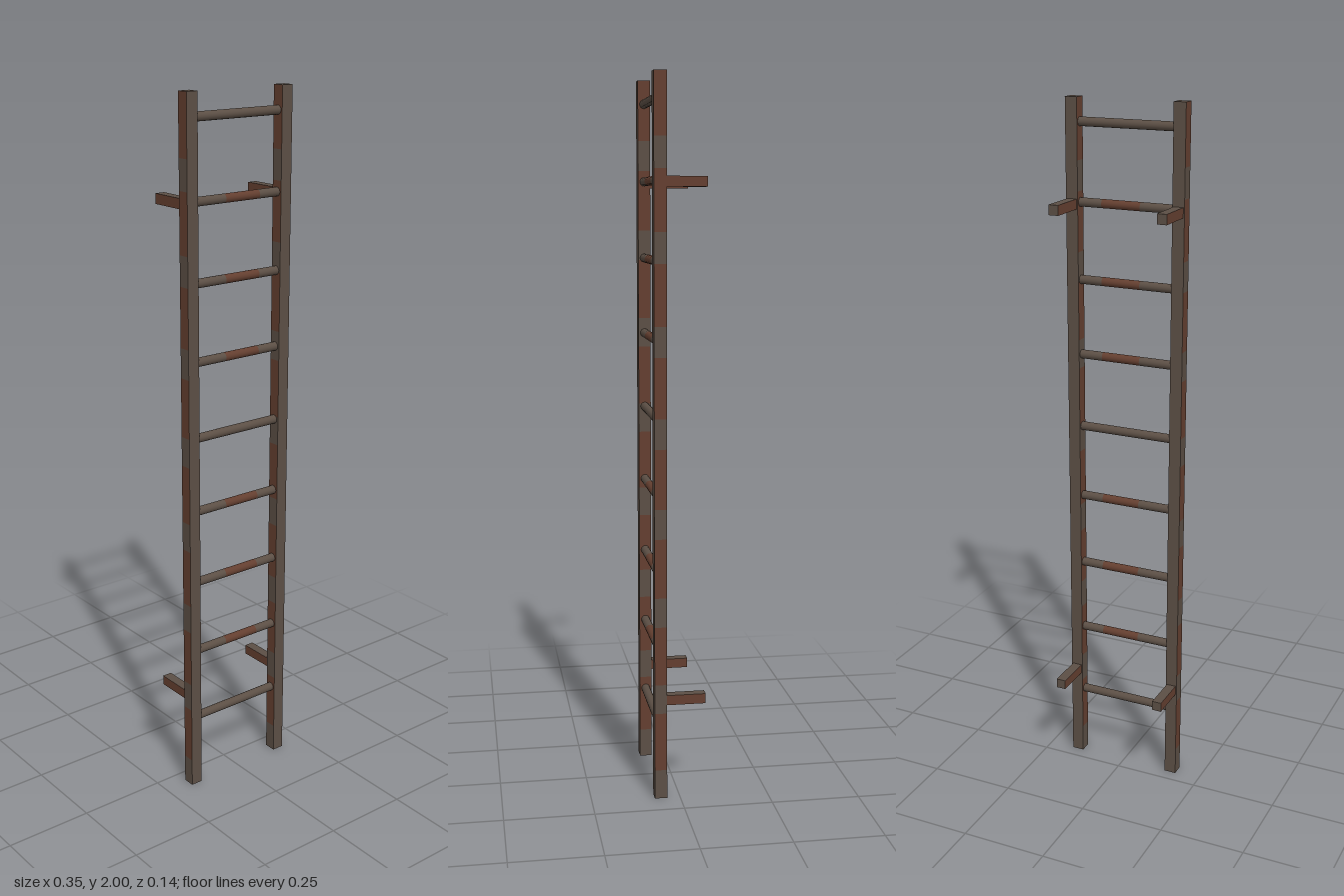
import * as THREE from 'three';

const steel = new THREE.MeshStandardMaterial({ color: 0x5c4f45 });
steel.name = 'weathered steel';
const rust = new THREE.MeshStandardMaterial({ color: 0x643f30 });
rust.name = 'rust';

const RAIL_X = 0.157, RAIL_Z = 0.0545, RAIL = 0.035;
const RUNG_STEP = 0.215, RUNG_R = 0.0125;

// Square rail: plain front, back and ends, rust patches down the two sides
function railGeometry() {
  const rows = 24;
  const geo = new THREE.BoxGeometry(RAIL, 2, RAIL, 1, rows, 1);
  const faces = geo.groups.slice();
  geo.clearGroups();
  faces.forEach((face, side) => {
    if (side > 1) {
      geo.addGroup(face.start, face.count, 0);
      return;
    }
    for (let r = 0; r < rows; r++) geo.addGroup(face.start + r * 6, 6, r % 3 === 2 ? 0 : 1);
  });
  return geo;
}

export function createModel() {
  const ladder = new THREE.Group();
  ladder.name = 'ladder';
  const add = (name, geo, mat, x, y, z) => {
    const mesh = new THREE.Mesh(geo, mat);
    mesh.name = name;
    mesh.position.set(x, y, z);
    ladder.add(mesh);
    return mesh;
  };

  // Rails and the wall brackets behind them
  const railGeo = railGeometry();
  const bracketDepth = 0.110;
  const bracketGeo = new THREE.BoxGeometry(0.028, 0.028, bracketDepth);
  const bracketMats = [rust, rust, steel, steel, steel, steel];
  for (const [side, s] of [['left', 1], ['right', -1]]) {
    add(side + 'Rail', railGeo, [steel, rust], s * RAIL_X, 1, RAIL_Z);
    for (const [level, y] of [['Lower', 0.287], ['Upper', 1.716]]) {
      add(side + level + 'Bracket', bracketGeo, bracketMats, s * RAIL_X, y, -0.073 + bracketDepth / 2);
    }
  }

  // Round rungs, each in lengths of steel and rust
  const span = 2 * RAIL_X - RAIL + 0.006;
  const parts = [0.35, 0.4, 0.25];
  for (let i = 1; i <= 9; i++) {
    let x = -span / 2;
    parts.forEach((share, k) => {
      const length = span * share;
      const geo = new THREE.CylinderGeometry(RUNG_R, RUNG_R, length, 16, 1, true);
      const rusty = i % 4 === 1 ? false : k === 1;
      const piece = add('rung' + i, geo, rusty ? rust : steel, x + length / 2, i * RUNG_STEP, RAIL_Z);
      piece.rotation.z = Math.PI / 2;
      x += length;
    });
  }
  return ladder;
}
